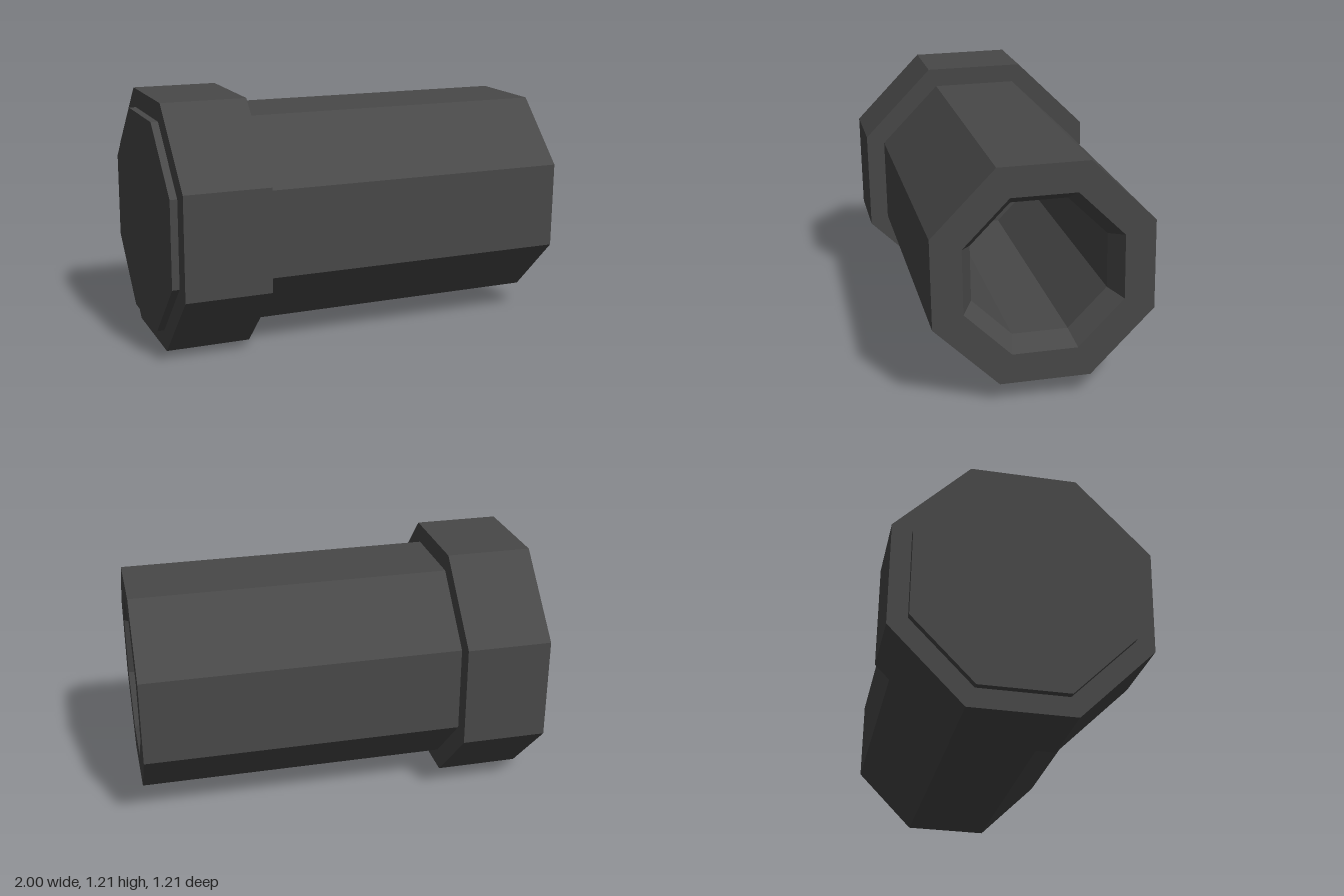
import * as THREE from 'three';

const SIDES = 8;
const TWIST = THREE.MathUtils.degToRad(21.5);
const AXIS_HEIGHT = 0.605;

export function createModel() {
  const group = new THREE.Group();
  group.name = 'boredCylinder';
  const darkMetal = new THREE.MeshStandardMaterial({ color: 0x484848, flatShading: true });
  darkMetal.name = 'darkMetal';

  // Eight-sided part turned about the x axis; profile points are [radius, x]
  const turned = (name, profile) => {
    const points = profile.map(([r, x]) => new THREE.Vector2(r, x));
    const mesh = new THREE.Mesh(new THREE.LatheGeometry(points, SIDES, -TWIST), darkMetal);
    mesh.name = name;
    mesh.rotation.z = -Math.PI / 2;
    mesh.position.y = AXIS_HEIGHT;
    group.add(mesh);
  };

  // Body: closed rear end, outer wall, front rim, chamfered mouth, blind bore
  turned('body', [
    [0, -1], [0.55, -1], [0.55, 1], [0.398, 1], [0.34, 0.9], [0.34, -0.6], [0, -0.6],
  ]);

  // Wider collar around the rear end
  turned('collar', [
    [0.54, -0.965], [0.65, -0.965], [0.65, -0.55], [0.54, -0.55],
  ]);

  return group;
}
